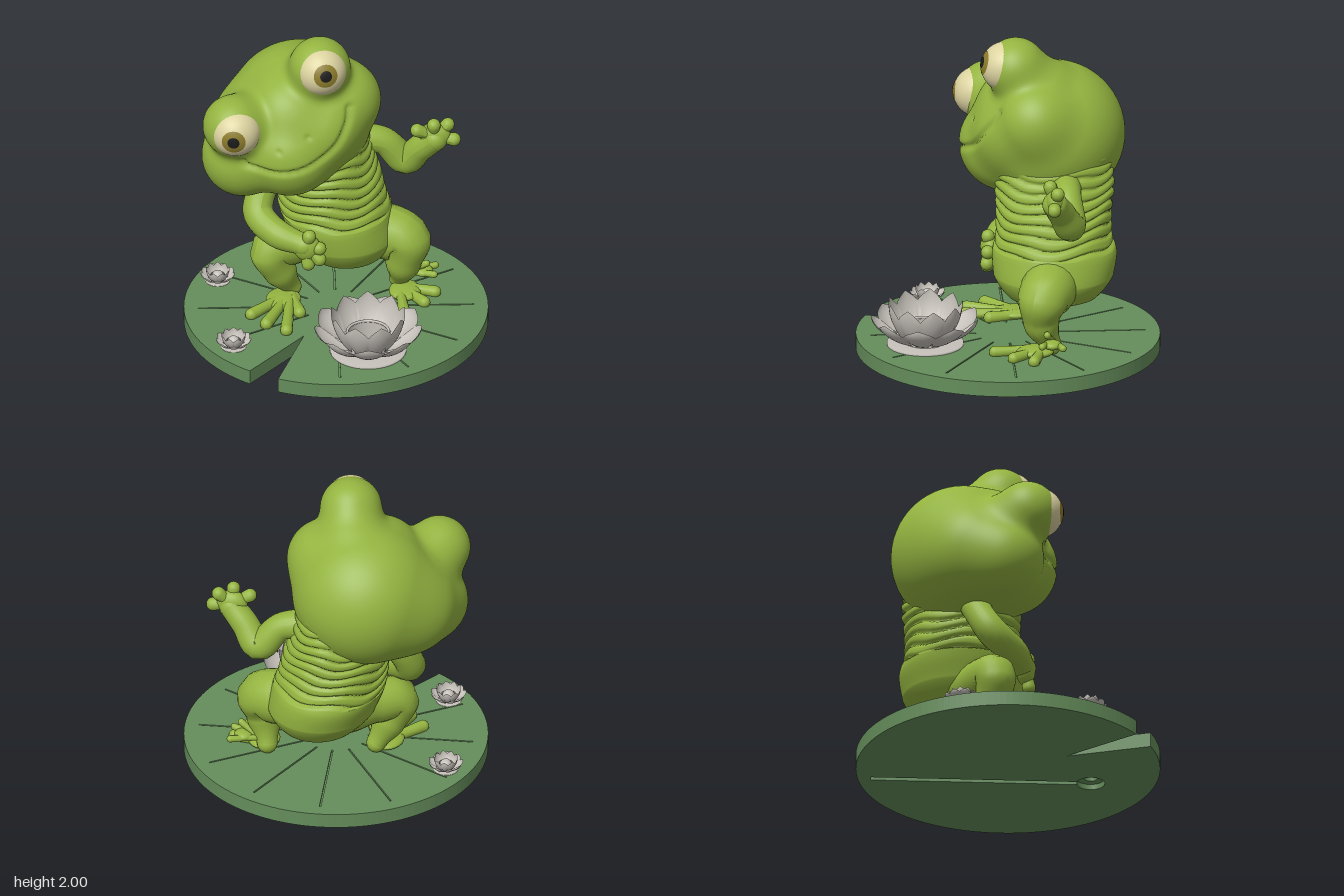
import * as THREE from 'three';
import { mergeGeometries, mergeVertices } from 'three/addons/utils/BufferGeometryUtils.js';

const V = (a) => new THREE.Vector3(...a);
const mat = (name, color, side = THREE.FrontSide) => {
  const m = new THREE.MeshStandardMaterial({ color, side });
  m.name = name;
  return m;
};

// Weld a moved geometry so its normals run smoothly over seams
function weld(geo) {
  geo.deleteAttribute('uv');
  geo.deleteAttribute('normal');
  const g = mergeVertices(geo, 1e-5);
  g.computeVertexNormals();
  return g;
}

// Rounded limb: a tube whose radius follows the points [x, y, z, r], with ball ends
function limbGeometry(pts, sides) {
  const steps = pts.length * 6;
  const curve = new THREE.CatmullRomCurve3(pts.map(([x, y, z]) => V([x, y, z])));
  const tube = new THREE.TubeGeometry(curve, steps, 1, sides);
  const p = tube.attributes.position, v = new THREE.Vector3();
  for (let i = 0; i <= steps; i++) {
    const c = curve.getPointAt(i / steps);
    const f = curve.getUtoTmapping(i / steps) * (pts.length - 1);
    const k = Math.min(Math.floor(f), pts.length - 2);
    const r = THREE.MathUtils.lerp(pts[k][3], pts[k + 1][3], THREE.MathUtils.smoothstep(f - k, 0, 1));
    for (let j = 0; j <= sides; j++) {
      const n = i * (sides + 1) + j;
      v.fromBufferAttribute(p, n).sub(c).multiplyScalar(r).add(c);
      p.setXYZ(n, v.x, v.y, v.z);
    }
  }
  tube.computeVertexNormals();
  const ends = [pts[0], pts[pts.length - 1]].map(([x, y, z, r]) =>
    new THREE.SphereGeometry(r, sides, 10).translate(x, y, z));
  return mergeGeometries([tube, ...ends]);
}

// Head: a sphere pushed out to the skin of softly blended balls [x, y, z, r]
function headGeometry() {
  const balls = [
    [-0.24, 1.34, -0.27, 0.455], [0.02, 1.5, -0.18, 0.25], [-0.58, 1.17, -0.02, 0.26],
    [-0.47, 1.25, -0.2, 0.335], [-0.29, 1.25, 0.015, 0.3], [-0.1, 1.38, -0.03, 0.24],
    [-0.3, 1.48, -0.05, 0.25], [-0.14, 1.66, -0.19, 0.2], [-0.55, 1.4, 0.0, 0.2],
    [-0.63, 1.47, 0.135, 0.195], [-0.105, 1.805, -0.045, 0.193],
  ];
  const field = (p) => {
    let d = 9;
    for (const [x, y, z, r] of balls) {
      const b = Math.hypot(p.x - x, p.y - y, p.z - z) - r, k = 0.08;
      const h = Math.max(k - Math.abs(d - b), 0) / k;
      d = Math.min(d, b) - h * h * k / 4;
    }
    return d;
  };
  const smile = new THREE.SplineCurve([[-0.57, 1.27], [-0.53, 1.235], [-0.31, 1.23], [-0.12, 1.275],
    [0.01, 1.365], [0.08, 1.49], [0.09, 1.58]].map(([x, y]) => new THREE.Vector2(x, y))).getPoints(60);
  const nostrils = [[-0.16, 1.45], [-0.34, 1.37]];
  const centre = V([-0.28, 1.4, -0.12]);
  const geo = new THREE.SphereGeometry(1, 180, 120);
  const pos = geo.attributes.position, dir = new THREE.Vector3(), p = new THREE.Vector3();
  for (let i = 0; i < pos.count; i++) {
    dir.fromBufferAttribute(pos, i).normalize();
    let t = 1;
    for (let n = 0; n < 70; n++) t -= field(p.copy(dir).multiplyScalar(t).add(centre));
    // Smile crease and nostril dents on the face side
    if (p.z > -0.1) {
      const d = Math.min(...smile.map((s) => Math.hypot(s.x - p.x, s.y - p.y)));
      t -= 0.024 * Math.exp(-((d / 0.019) ** 2));
      for (const [x, y] of nostrils) t -= 0.01 * Math.exp(-((Math.hypot(p.x - x, p.y - y) / 0.016) ** 2));
    }
    p.copy(dir).multiplyScalar(t).add(centre);
    pos.setXYZ(i, p.x, p.y, p.z);
  }
  return weld(geo);
}

// Torso: oval sections [y, cx, cz, rx, rz] with folds of loose skin above the hips
function torsoGeometry() {
  const rings = [[1.28, -0.03, -0.3, 0.2, 0.34], [1.05, -0.07, -0.29, 0.295, 0.375], [0.9, -0.06, -0.285, 0.33, 0.365],
    [0.74, -0.04, -0.285, 0.345, 0.365], [0.63, -0.01, -0.29, 0.35, 0.39], [0.5, 0.03, -0.285, 0.34, 0.375],
    [0.37, 0.05, -0.28, 0.25, 0.28], [0.29, 0.05, -0.28, 0.002, 0.002]];
  const mid = new THREE.CatmullRomCurve3(rings.map(([y, x, z]) => V([x, y, z])));
  const rad = new THREE.CatmullRomCurve3(rings.map((r) => V([r[3], 0, r[4]])));
  const geo = new THREE.CylinderGeometry(1, 1, 1, 84, 140, true);
  const pos = geo.attributes.position;
  for (let i = 0; i < pos.count; i++) {
    const t = 0.5 - pos.getY(i), a = Math.atan2(pos.getZ(i), pos.getX(i));
    const c = mid.getPoint(t), r = rad.getPoint(t);
    const phase = c.y * 92 + 1.5 * Math.sin(2 * a + 1) + 1.1 * Math.sin(5 * a + c.y * 11);
    const fold = c.y > 0.67 ? 0.027 * (1 - Math.abs(Math.sin(phase / 2))) ** 2 : 0;
    pos.setXYZ(i, c.x + Math.cos(a) * (Math.max(r.x, 0) - fold), c.y, c.z + Math.sin(a) * (Math.max(r.z, 0) - fold));
  }
  return weld(geo);
}

// Lily pad outline with its notch, shape y standing for z
function padShape(holes) {
  const s = new THREE.Shape(), R = 0.95;
  const from = Math.atan2(0.9, -0.31), to = Math.atan2(0.81, -0.49) - 2 * Math.PI;
  s.moveTo(-0.18, 0.37);
  s.lineTo(R * Math.cos(from), R * Math.sin(from));
  s.absarc(0, 0, R, from, to, true);
  s.lineTo(-0.18, 0.37);
  s.holes.push(...holes);
  return s;
}
const padLayer = (top, depth, holes) =>
  new THREE.ExtrudeGeometry(padShape(holes), { depth, bevelEnabled: false, curveSegments: 72 })
    .rotateX(Math.PI / 2).translate(0, top, 0);

// Petal: a plane bent from radius r0 out to r1, rising to height h, cupped across to a pointed tip
function petalGeometry(r0, r1, y0, h, width) {
  const geo = new THREE.PlaneGeometry(1, 1, 8, 12);
  const pos = geo.attributes.position;
  for (let i = 0; i < pos.count; i++) {
    const s = -pos.getX(i) * 2, t = pos.getY(i) + 0.5, belly = Math.sin(Math.PI * t);
    const w = width * (0.35 * (1 - t) + 0.95 * Math.sin(Math.PI * t ** 1.25));
    pos.setXYZ(i, s * w, y0 + (h - y0) * t ** 1.25 + 0.025 * s * s * belly,
      r0 + (r1 - r0) * Math.sin(t * Math.PI / 2) - 0.015 * s * s * belly);
  }
  geo.computeVertexNormals();
  return geo;
}

export function createModel() {
  const model = new THREE.Group();
  const skin = mat('frog green', 0x94b440), leaf = mat('leaf green', 0x658d5b);
  const petalGrey = mat('petal grey', 0xc6c1ba, THREE.DoubleSide);
  const cream = mat('eye cream', 0xdcd3a0), olive = mat('iris olive', 0x8c7c2c), black = mat('pupil black', 0x1b1b1b);
  const add = (name, geo, material, parent = model) => {
    const m = new THREE.Mesh(geo, material);
    m.name = name;
    parent.add(m);
    return m;
  };
  const limb = (name, pts, sides = 22) => add(name, limbGeometry(pts, sides), skin);
  const blob = (name, c, s) => add(name, new THREE.SphereGeometry(1, 24, 16).scale(...s).translate(...c), skin);

  // Lily pad in three layers: keyhole channel below, plain middle, radial veins on top
  const bore = new THREE.Path().absarc(0.23, 0.51, 0.04, 0, Math.PI * 2);
  const a = Math.atan2(-1.37, -0.11), nx = -Math.sin(a) * 0.02, nz = Math.cos(a) * 0.02;
  const channel = new THREE.Path().absarc(0.23, 0.51, 0.088, a + 0.23, a - 0.23 + 2 * Math.PI, false);
  channel.lineTo(0.12 - nx, -0.86 - nz).lineTo(0.12 + nx, -0.86 + nz).closePath();
  const veins = [];
  for (let k = 1; k < 12; k++) {
    const t = (115 + 30 * k) * Math.PI / 180, c = Math.cos(t), s = Math.sin(t), w = 0.005;
    veins.push(new THREE.Path([[0.2, -w], [0.86, -w], [0.86, w], [0.2, w]].map(([r, o]) =>
      new THREE.Vector2(r * c - o * s, r * s + o * c))));
  }
  add('padUnderside', padLayer(0.035, 0.035, [channel]), leaf);
  add('padCore', padLayer(0.083, 0.048, [bore]), leaf);
  add('padTop', padLayer(0.095, 0.012, [bore, ...veins]), leaf);

  // Head, torso and eyes
  add('head', headGeometry(), skin);
  add('torso', torsoGeometry(), skin);
  const eye = (name, c, look) => {
    const g = new THREE.Group();
    g.name = name;
    g.position.set(...c);
    g.quaternion.setFromUnitVectors(V([0, 1, 0]), V(look).normalize());
    add('eyeball', new THREE.SphereGeometry(0.16, 36, 24), cream, g);
    add('iris', new THREE.SphereGeometry(0.1625, 36, 8, 0, Math.PI * 2, 0, 0.48), olive, g);
    add('pupil', new THREE.SphereGeometry(0.165, 36, 6, 0, Math.PI * 2, 0, 0.23), black, g);
    model.add(g);
  };
  eye('rightEye', [-0.615, 1.472, 0.2], [-0.03, 0.02, 1]);
  eye('leftEye', [-0.091, 1.82, 0.012], [0.24, 0.25, 0.94]);

  // Fingers or toes: even stems with a round tip
  const digits = (name, root, r, tips) => tips.forEach(([x, y, z]) => limb(name, [[...root, r],
    [(root[0] + x) / 2, (root[1] + y) / 2, (root[2] + z) / 2, r * 0.95], [x, y, z, r * 1.12]], 14));

  // Raised left arm
  limb('leftArm', [[0.1, 1.11, -0.36, 0.1], [0.27, 1.085, -0.38, 0.087], [0.41, 0.945, -0.4, 0.098],
    [0.51, 1.06, -0.35, 0.086], [0.6, 1.15, -0.31, 0.08]]);
  blob('leftPalm', [0.6, 1.175, -0.31], [0.1, 0.085, 0.06]);
  digits('leftFinger', [0.6, 1.17, -0.31], 0.038, [[0.49, 1.225, -0.28], [0.595, 1.265, -0.28], [0.68, 1.245, -0.33], [0.72, 1.15, -0.31]]);

  // Right arm resting on the knee
  limb('rightArm', [[-0.38, 0.97, -0.2, 0.1], [-0.465, 0.84, -0.16, 0.09], [-0.49, 0.71, -0.08, 0.096],
    [-0.37, 0.64, 0.04, 0.09], [-0.19, 0.6, 0.11, 0.07]]);
  blob('rightPalm', [-0.175, 0.585, 0.115], [0.085, 0.09, 0.06]);
  digits('rightFinger', [-0.18, 0.59, 0.12], 0.038, [[-0.16, 0.675, 0.13], [-0.095, 0.59, 0.13], [-0.095, 0.515, 0.135], [-0.165, 0.48, 0.135]]);

  // Bent legs
  limb('leftLeg', [[0.13, 0.5, -0.29, 0.19], [0.32, 0.49, -0.26, 0.175], [0.42, 0.46, -0.23, 0.16],
    [0.41, 0.31, -0.22, 0.115], [0.38, 0.15, -0.28, 0.065]]);
  limb('rightLeg', [[-0.12, 0.48, -0.25, 0.18], [-0.28, 0.47, -0.15, 0.145], [-0.41, 0.45, -0.07, 0.132],
    [-0.36, 0.3, -0.09, 0.108], [-0.285, 0.15, -0.14, 0.062]]);

  // Splayed feet
  blob('leftFoot', [0.42, 0.12, -0.18], [0.1, 0.035, 0.12]);
  digits('leftToe', [0.38, 0.12, -0.23], 0.033, [[0.43, 0.115, 0.07], [0.55, 0.115, -0.05], [0.61, 0.115, -0.18]]);
  blob('leftSpurWeb', [0.53, 0.2, -0.29], [0.06, 0.03, 0.06]);
  digits('leftSpur', [0.43, 0.19, -0.29], 0.02, [[0.6, 0.2, -0.36], [0.55, 0.27, -0.26], [0.6, 0.21, -0.23]]);
  blob('rightFoot', [-0.33, 0.12, -0.03], [0.11, 0.035, 0.13]);
  digits('rightToe', [-0.29, 0.12, -0.1], 0.035, [[-0.29, 0.115, 0.34], [-0.42, 0.115, 0.27], [-0.52, 0.115, 0.16], [-0.22, 0.115, 0.12]]);

  // Water lilies: base plate, collar and two whorls of petals
  const lily = (name, x, z, size, bud) => {
    const g = new THREE.Group();
    g.name = name;
    g.position.set(x, 0.095, z);
    g.scale.setScalar(size);
    add('basePlate', new THREE.LatheGeometry([[0.24, 0], [0.24, 0.014], [0.13, 0.014]]
      .map(([r, y]) => new THREE.Vector2(r, y)), 48), petalGrey, g);
    add('collar', new THREE.CylinderGeometry(0.13, 0.13, 0.13, 40, 1, true).translate(0, 0.065, 0), petalGrey, g);
    add('collarRim', new THREE.TorusGeometry(0.13, 0.009, 8, 40).rotateX(Math.PI / 2).translate(0, 0.13, 0), petalGrey, g);
    const outer = petalGeometry(0.13, 0.34, 0.02, 0.195, 0.095), inner = petalGeometry(0.13, 0.235, 0.03, 0.285, 0.08);
    for (let i = 0; i < 9; i++) {
      add('outerPetal', outer, petalGrey, g).rotation.y = (i + 0.1) * Math.PI * 2 / 9;
      add('innerPetal', inner, petalGrey, g).rotation.y = (i + 0.6) * Math.PI * 2 / 9;
    }
    if (bud) add('bud', new THREE.SphereGeometry(0.12, 20, 14).translate(0, 0.1, 0), petalGrey, g);
    model.add(g);
  };
  lily('largeLily', 0.23, 0.51, 1, false);
  lily('frontSmallLily', -0.61, 0.52, 0.33, true);
  lily('sideSmallLily', -0.755, -0.27, 0.32, true);
  return model;
}
